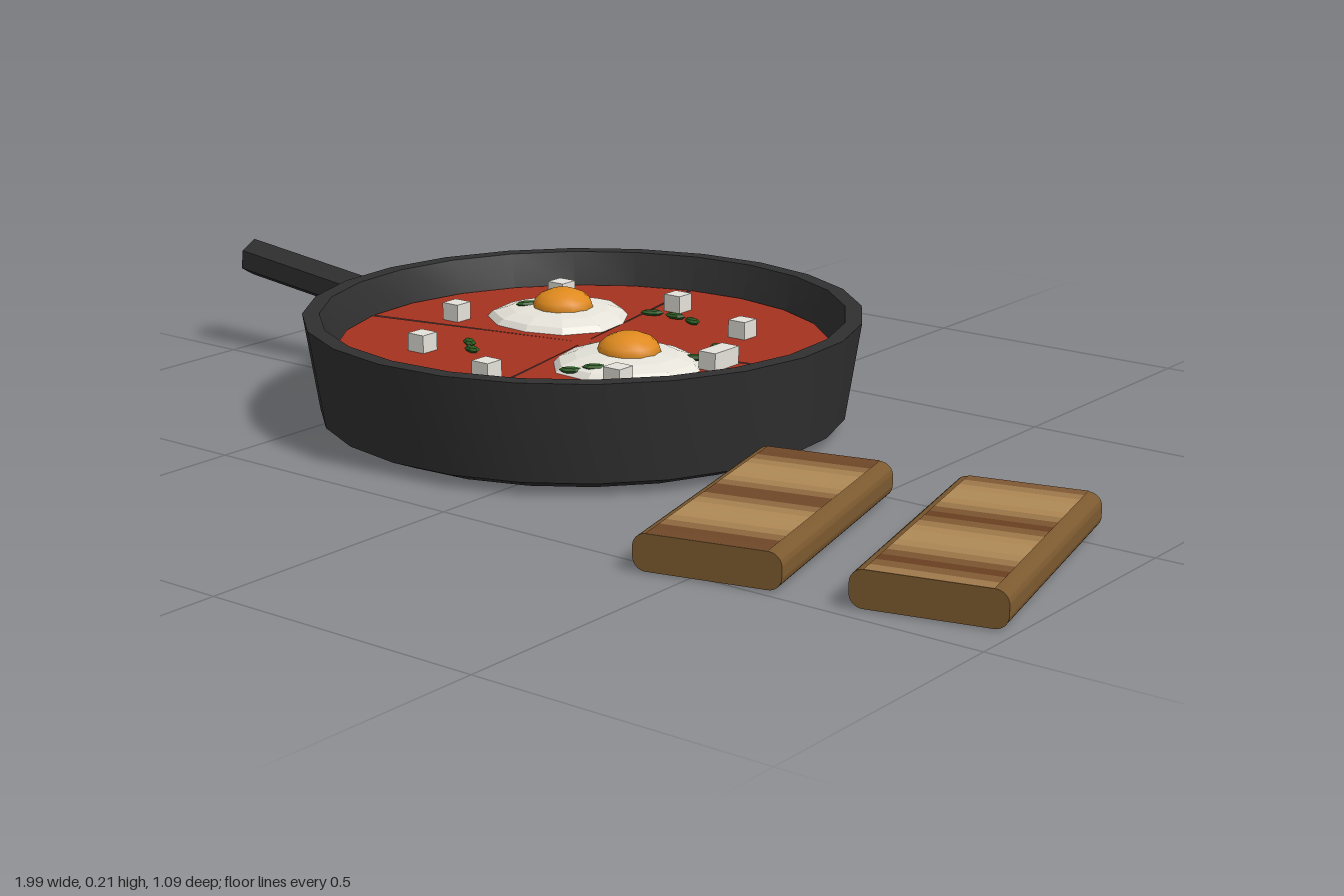
import * as THREE from 'three';
import { toCreasedNormals } from 'three/addons/utils/BufferGeometryUtils.js';

const SAUCE_Y = 0.14;
const CX = -0.167, CZ = -0.06;

export function createModel() {
  const model = new THREE.Group();
  model.name = 'panOfEggsWithToast';

  const mat = (color, flatShading = false, side = THREE.FrontSide) =>
    new THREE.MeshStandardMaterial({ color, flatShading, side });
  const add = (name, geometry, material, x = 0, y = 0, z = 0, parent = model) => {
    const mesh = new THREE.Mesh(geometry, material);
    mesh.name = name;
    mesh.position.set(x, y, z);
    parent.add(mesh);
    return mesh;
  };

  const iron = mat(0x303030);
  const sauceMat = mat(0xa63220);
  const whiteMat = mat(0xe6e4da, true);
  const yolkMat = mat(0xdf8a1e);
  const cheeseMat = mat(0xe4e2da, true);
  const herbMat = mat(0x2c5a22, true);

  // Pan body: outer wall, flat rim, inner wall and floor
  const profile = [
    [0, 0.003], [0.415, 0.003], [0.468, 0.025], [0.495, 0.2],
    [0.465, 0.2], [0.44, 0.13], [0.425, 0.03], [0, 0.03],
  ].map(([r, y]) => new THREE.Vector2(r, y));
  const body = toCreasedNormals(new THREE.LatheGeometry(profile, 24), 0.3);
  add('panBody', body, iron, CX, 0, CZ).rotation.y = 0.2;

  // Six-sided handle, rising slightly away from the pan
  const inner = new THREE.Vector3(-0.64, 0.14, CZ), outer = new THREE.Vector3(-0.996, 0.179, CZ);
  const dir = outer.clone().sub(inner);
  const rod = toCreasedNormals(new THREE.CylinderGeometry(0.036, 0.036, dir.length(), 6), 0.3);
  rod.rotateY(Math.PI / 2);
  const handle = add('handle', rod, iron);
  handle.position.copy(inner).add(outer).multiplyScalar(0.5);
  handle.quaternion.setFromUnitVectors(new THREE.Vector3(0, 1, 0), dir.normalize());

  // Sauce in four quarters with hairline gaps
  const sauce = new THREE.Group();
  sauce.name = 'sauce';
  sauce.position.set(CX, SAUCE_Y, CZ);
  sauce.rotation.y = 0.2;
  model.add(sauce);
  const gap = 0.012;
  for (let i = 0; i < 4; i++) {
    const quarter = new THREE.CircleGeometry(0.438, 6, i * Math.PI / 2 + gap / 2, Math.PI / 2 - gap);
    add('sauceQuarter', quarter.rotateX(-Math.PI / 2), sauceMat, 0, 0, 0, sauce);
  }

  // Fried eggs: low uneven dome of white with a round yolk
  const eggWhite = (phase) => {
    const g = new THREE.SphereGeometry(1, 11, 4, 0, Math.PI * 2, 0, Math.PI / 2);
    const p = g.attributes.position;
    for (let i = 0; i < p.count; i++) {
      const a = Math.atan2(p.getZ(i), p.getX(i));
      const r = 0.129 * (1 + 0.05 * Math.sin(3 * a + phase));
      p.setXYZ(i, p.getX(i) * r, p.getY(i) * 0.028, p.getZ(i) * r);
    }
    g.computeVertexNormals();
    return g;
  };
  [[-0.315, -0.175, -0.307, -0.172], [-0.018, 0.006, -0.013, 0.005]].forEach(([x, z, yx, yz], i) => {
    add('eggWhite', eggWhite(i * 2.1), whiteMat, x, SAUCE_Y, z);
    const yolk = new THREE.SphereGeometry(0.056, 12, 8).scale(1, 0.6, 1);
    add('yolk', yolk, yolkMat, yx, 0.164, yz);
  });

  // Cheese cubes [x, z, y]
  [
    [-0.178, -0.35, 0.155], [-0.38, -0.256, 0.167], [0.03, -0.267, 0.155],
    [-0.457, -0.048, 0.155], [0.117, -0.094, 0.155], [0.117, -0.062, 0.155],
    [0.054, 0.12, 0.155], [-0.356, 0.155, 0.155], [-0.145, 0.226, 0.155],
  ].forEach(([x, z, y]) => add('cheeseCube', new THREE.BoxGeometry(0.036, 0.034, 0.036), cheeseMat, x, y, z));

  // Herb leaves [x, z, y, turn]
  [
    [-0.19, -0.288, 0.146, 0.5], [-0.141, -0.294, 0.146, 0.1], [-0.094, -0.283, 0.146, -0.4],
    [0.052, -0.16, 0.146, -0.8], [0.067, -0.115, 0.146, -1.0], [0.073, -0.07, 0.15, 0.6],
    [-0.365, -0.14, 0.165, 0.9], [-0.313, 0.08, 0.146, -0.6], [-0.278, 0.113, 0.146, -0.4],
    [-0.045, 0.123, 0.149, 0.5], [-0.01, 0.103, 0.156, 0.6],
  ].forEach(([x, z, y, turn]) => {
    const leaf = new THREE.SphereGeometry(1, 6, 4).scale(0.022, 0.006, 0.011);
    add('herbLeaf', leaf, herbMat, x, y, z).rotation.y = turn;
  });

  // Toast slices: rounded bar with browned bands across the top
  const W = 0.24, H = 0.06, L = 0.49, R = 0.022;
  const s = new THREE.Shape();
  const corners = [[1, 1, 0], [-1, 1, 1], [-1, -1, 2], [1, -1, 3]];
  corners.forEach(([sx, sy, q]) =>
    s.absarc(sx * (W / 2 - R), sy * (H / 2 - R), R, q * Math.PI / 2, (q + 1) * Math.PI / 2, false));
  const loaf = new THREE.ExtrudeGeometry(s, { depth: L, bevelEnabled: false, curveSegments: 4 });
  loaf.translate(0, 0, -L / 2);
  const toastGeo = toCreasedNormals(loaf, 0.6);
  const crust = mat(0x7d5a30);
  const light = new THREE.Color(0xb08a56), dark = new THREE.Color(0x6a4022);
  const bands = 20;

  [[0.47, 0.27, 0.5], [0.814, 0.204, 1.6]].forEach(([x, z, phase]) => {
    const toast = new THREE.Group();
    toast.name = 'toast';
    toast.position.set(x, 0.035, z);
    toast.rotation.y = 0.24;
    model.add(toast);
    add('toastSlice', toastGeo, crust, 0, 0, 0, toast);
    for (let i = 0; i < bands; i++) {
      const t = (i + 0.5) / bands;
      const brown = Math.pow(0.5 + 0.5 * Math.cos((t - 0.5) * 14 + phase - 0.5), 2);
      const band = new THREE.PlaneGeometry(W - 2 * R, L / bands).rotateX(-Math.PI / 2);
      add('toastedBand', band, mat(light.clone().lerp(dark, brown)), 0, H / 2 + 0.001, (t - 0.5) * L, toast);
    }
  });

  return model;
}
